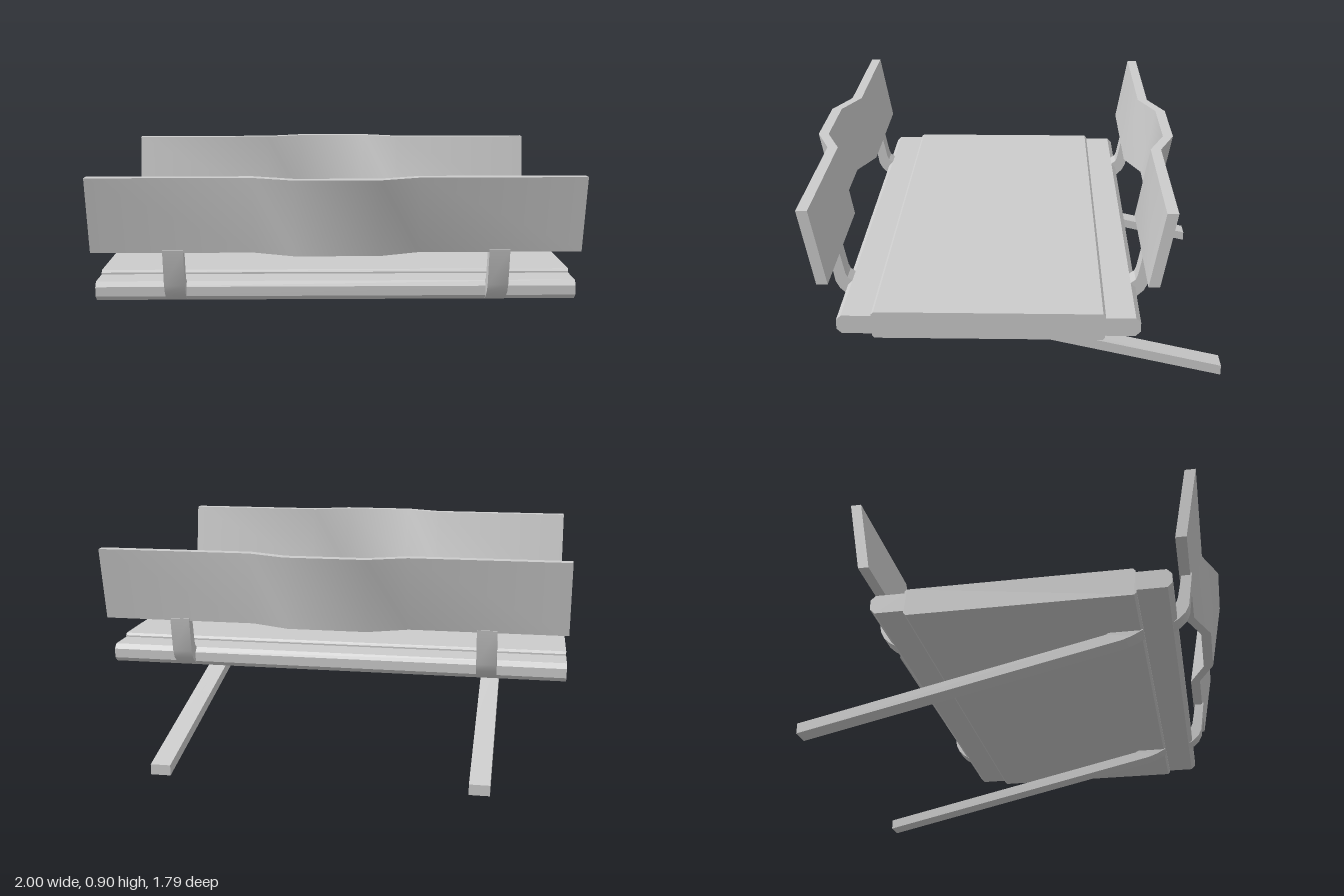
import * as THREE from 'three';
import { toCreasedNormals } from 'three/addons/utils/BufferGeometryUtils.js';

const MID_Z = 0.1; // plane between the two facing backrests
const SUPPORT_X = 0.665;
const SUPPORT_W = 0.085;
const material = new THREE.MeshStandardMaterial({ color: 0xcccccc });

function addMesh(parent, name, geometry, x = 0) {
  const mesh = new THREE.Mesh(toCreasedNormals(geometry, 0.5), material);
  mesh.name = name;
  mesh.position.x = x;
  parent.add(mesh);
}

function extrude(points, depth) {
  const shape = new THREE.Shape(points.map(([a, b]) => new THREE.Vector2(a, b)));
  return new THREE.ExtrudeGeometry(shape, { depth, bevelEnabled: false });
}

// Side profile of [z, y] points, swept along x and centred on x = 0
function sweepAlongX(points, width) {
  return extrude(points, width).translate(0, 0, -width / 2).rotateY(-Math.PI / 2);
}

// Mirror a side profile to the opposite side
const mirrored = (points) => points.map(([z, y]) => [2 * MID_Z - z, y]);

// Leaning board: plan outline with a bowed middle, raised and then sheared backwards
function backrestGeometry(side) {
  const inner = 0.725 - MID_Z, thick = 0.045, bow = 0.07;
  const height = 0.315, bottom = 0.59, lean = 0.055 / height;
  const line = [[-1, 0], [-0.335, 0], [-0.17, bow], [0.17, bow], [0.335, 0], [1, 0]];
  const outline = [
    ...line.map(([x, b]) => [x, -side * (inner + b)]),
    ...line.map(([x, b]) => [x, -side * (inner + b + thick)]).reverse(),
  ];
  const geometry = extrude(outline, height).rotateX(-Math.PI / 2);
  const p = geometry.attributes.position;
  for (let i = 0; i < p.count; i++) {
    p.setZ(i, p.getZ(i) + side * lean * p.getY(i) + MID_Z);
    p.setY(i, p.getY(i) + bottom);
  }
  return geometry;
}

export function createModel() {
  const model = new THREE.Group();
  model.name = 'tiltedDoubleBench';

  // Thick central seat with small chamfers
  const seat = [
    [-0.365, 0.36], [-0.355, 0.35], [0.555, 0.35], [0.565, 0.36],
    [0.565, 0.457], [0.555, 0.467], [-0.355, 0.467], [-0.365, 0.457],
  ];
  addMesh(model, 'seat', sweepAlongX(seat, 2));

  // Thinner chamfered rails along both seat edges
  const rail = [
    [0.565, 0.37], [0.685, 0.37], [0.705, 0.39],
    [0.705, 0.43], [0.685, 0.45], [0.565, 0.45],
  ];
  addMesh(model, 'frontRail', sweepAlongX(rail, 2));
  addMesh(model, 'backRail', sweepAlongX(mirrored(rail), 2));

  // Backrests
  addMesh(model, 'frontBackrest', backrestGeometry(1));
  addMesh(model, 'rearBackrest', backrestGeometry(-1));

  // Bent brackets carrying the backrests, and the sloping legs below
  const bracket = [
    [0.685, 0.371], [0.715, 0.39], [0.74, 0.414], [0.757, 0.448], [0.778, 0.6],
    [0.735, 0.6], [0.713, 0.485], [0.705, 0.465], [0.685, 0.45],
  ];
  const leg = [
    [-0.895, 0], [0.477, 0.312], [0.52, 0.328], [0.565, 0.352],
    [0.555, 0.36], [0.43, 0.355], [0.41, 0.342], [-0.895, 0.045],
  ];
  for (const [label, x] of [['left', SUPPORT_X], ['right', -SUPPORT_X]]) {
    addMesh(model, label + 'FrontBracket', sweepAlongX(bracket, SUPPORT_W), x);
    addMesh(model, label + 'BackBracket', sweepAlongX(mirrored(bracket), SUPPORT_W), x);
    addMesh(model, label + 'Leg', sweepAlongX(leg, SUPPORT_W), x);
  }
  return model;
}
